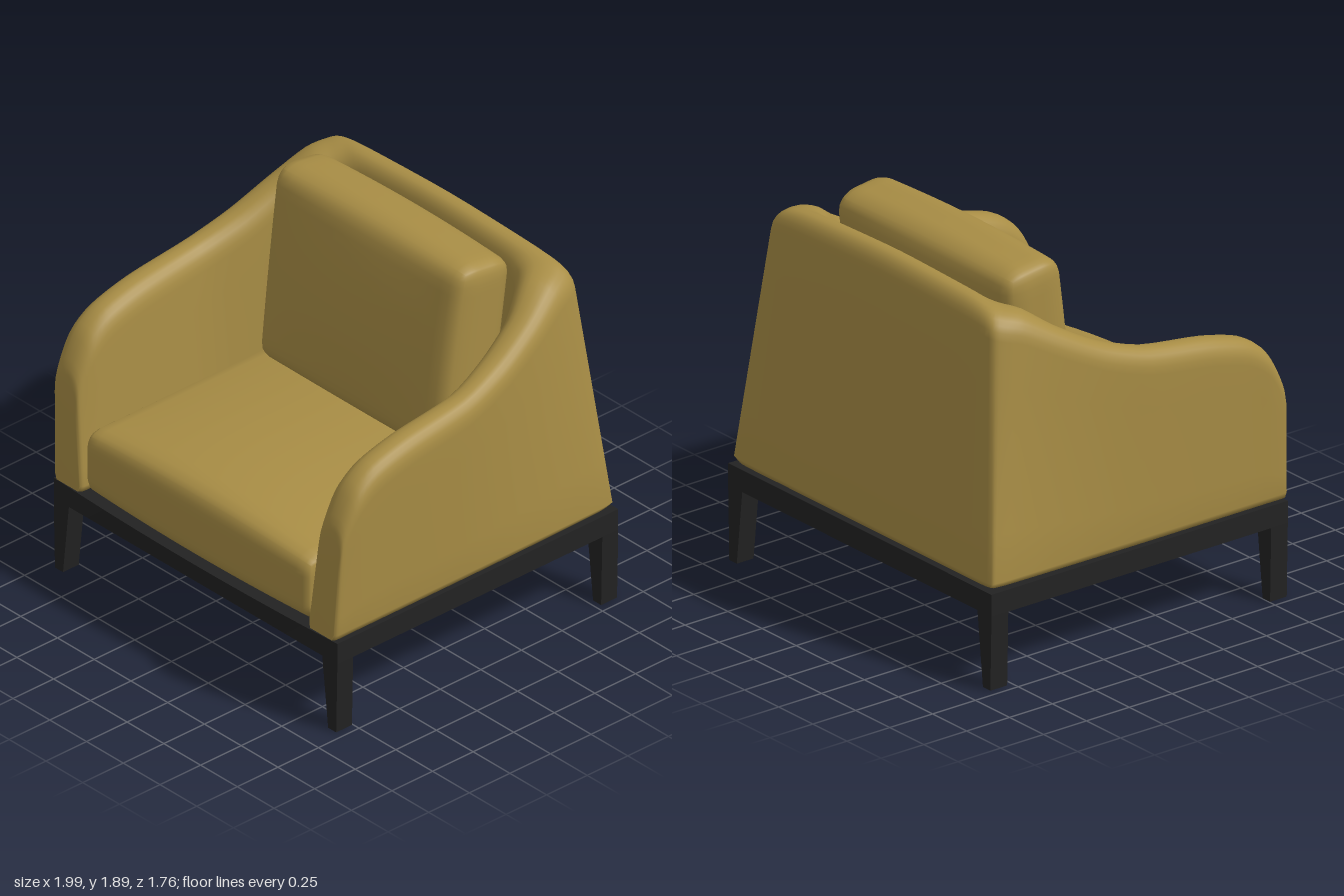
import * as THREE from 'three';
import { mergeVertices } from 'three/addons/utils/BufferGeometryUtils.js';

const fabric = new THREE.MeshStandardMaterial({ color: 0xa88d45 });
const wood = new THREE.MeshStandardMaterial({ color: 0x222222 });

function addMesh(parent, name, geometry, material) {
  const mesh = new THREE.Mesh(geometry, material);
  mesh.name = name;
  parent.add(mesh);
  return mesh;
}

// Wrap-around arms and back: sections lofted from one arm front to the other
function shellGeometry() {
  const y0 = 0.49, r = 0.12;
  // outer bottom x,z | outer top x,z | inner bottom x,z | inner top x,z | height
  const half = [
    [0.945, 0.862, 0.965, 0.842, 0.78, 0.862, 0.84, 0.842, 0.96],
    [0.96, 0.84, 0.985, 0.825, 0.765, 0.84, 0.83, 0.825, 1.09],
    [0.96, 0.74, 1, 0.74, 0.76, 0.74, 0.82, 0.74, 1.25],
    [0.96, 0.62, 1, 0.62, 0.76, 0.62, 0.82, 0.62, 1.34],
    [0.96, 0.4, 1, 0.4, 0.76, 0.4, 0.82, 0.4, 1.4],
    [0.96, 0.05, 0.99, 0.05, 0.76, 0.05, 0.82, 0.05, 1.45],
    [0.96, -0.2, 0.96, -0.2, 0.73, -0.15, 0.78, -0.18, 1.53],
    [0.96, -0.45, 0.92, -0.42, 0.68, -0.35, 0.74, -0.37, 1.64],
    [0.96, -0.68, 0.87, -0.6, 0.62, -0.47, 0.68, -0.49, 1.74],
    [0.957, -0.83, 0.83, -0.7, 0.56, -0.53, 0.62, -0.56, 1.77],
    [0.92, -0.87, 0.78, -0.745, 0.5, -0.555, 0.56, -0.59, 1.785],
    [0.6, -0.872, 0.6, -0.75, 0.4, -0.57, 0.45, -0.605, 1.8],
    [0, -0.872, 0, -0.75, 0, -0.57, 0, -0.61, 1.815],
  ];
  const mirrored = half.slice(0, -1).reverse().map(s => s.map((v, k) => (k < 8 && k % 2 === 0 ? -v : v)));
  const stations = half.concat(mirrored);
  const curves = [0, 3, 6].map(k => new THREE.CatmullRomCurve3(
    stations.map(s => new THREE.Vector3(s[k], s[k + 1], s[k + 2])), false, 'catmullrom', 0.4));
  const rings = (stations.length - 1) * 4;
  const mix = THREE.MathUtils.lerp;
  const positions = [], index = [];
  let n = 0;
  for (let i = 0; i <= rings; i++) {
    const s = curves.flatMap(c => c.getPoint(i / rings).toArray());
    const h = s[8];
    // Section: u runs from outside to inside, y is height
    const section = [[0.06, y0], [0, y0 + 0.03]];
    for (let k = 1; k <= 4; k++) section.push([0, mix(y0 + 0.03, h - r, k / 5)]);
    for (let k = 0; k <= 12; k++) {
      const a = Math.PI * k / 12, c = Math.cos(a);
      section.push([(1 - Math.sign(c) * Math.abs(c) ** 0.85) / 2, h - r + r * Math.sin(a) ** 0.85]);
    }
    for (let k = 4; k >= 1; k--) section.push([1, mix(y0 + 0.03, h - r, k / 5)]);
    section.push([1, y0 + 0.03], [0.94, y0]);
    n = section.length;
    for (const [u, y] of section) {
      const f = (y - y0) / (h - y0);
      positions.push(
        mix(mix(s[0], s[2], f), mix(s[4], s[6], f), u), y,
        mix(mix(s[1], s[3], f), mix(s[5], s[7], f), u));
    }
  }
  for (let i = 0; i < rings; i++) for (let j = 0; j < n; j++) {
    const k = (j + 1) % n, a = i * n + j, b = a + n, c = (i + 1) * n + k, d = i * n + k;
    index.push(a, b, c, a, c, d);
  }
  // Close the arm fronts
  for (const [ring, flip] of [[0, false], [rings, true]]) {
    const base = ring * n, centre = positions.length / 3;
    const sum = [0, 0, 0];
    for (let j = 0; j < n; j++) for (let k = 0; k < 3; k++) sum[k] += positions[(base + j) * 3 + k] / n;
    positions.push(sum[0], sum[1], sum[2] + 0.006);
    for (let j = 0; j < n; j++) {
      const a = base + j, b = base + (j + 1) % n;
      if (flip) index.push(centre, b, a); else index.push(centre, a, b);
    }
  }
  const g = new THREE.BufferGeometry();
  g.setAttribute('position', new THREE.Float32BufferAttribute(positions, 3));
  g.setIndex(index);
  g.computeVertexNormals();
  return g;
}

// Soft box: rounded by a radius per axis, then bulged by a rule
function cushionGeometry(size, radius, bulge) {
  let g = new THREE.BoxGeometry(2, 2, 2, 20, 20, 20);
  g.deleteAttribute('normal');
  g.deleteAttribute('uv');
  g = mergeVertices(g);
  const p = g.attributes.position;
  for (let i = 0; i < p.count; i++) {
    const s = [p.getX(i), p.getY(i), p.getZ(i)].map(v => Math.sin(v * Math.PI / 2));
    const inner = s.map((v, k) => THREE.MathUtils.clamp(v * size[k] / 2, radius[k] - size[k] / 2, size[k] / 2 - radius[k]));
    const d = s.map((v, k) => (v * size[k] / 2 - inner[k]) / radius[k]);
    const length = Math.hypot(...d) || 1;
    const reach = Math.max(...d.map(Math.abs)) / length;
    const q = inner.map((v, k) => v + d[k] * reach * radius[k]);
    p.setXYZ(i, ...bulge(q, q.map((v, k) => v / size[k] * 2)));
  }
  g.computeVertexNormals();
  return g;
}

function boxBetween(x0, x1, y0, y1, z0, z1, segments = 1) {
  return new THREE.BoxGeometry(x1 - x0, y1 - y0, z1 - z0, segments, 1, 1)
    .translate((x0 + x1) / 2, (y0 + y1) / 2, (z0 + z1) / 2);
}

function reshape(geometry, rule) {
  const p = geometry.attributes.position;
  for (let i = 0; i < p.count; i++) p.setXYZ(i, ...rule(p.getX(i), p.getY(i), p.getZ(i)));
  geometry.computeVertexNormals();
  return geometry;
}

export function createModel() {
  const model = new THREE.Group();
  model.name = 'armchair';

  addMesh(model, 'armsAndBack', shellGeometry(), fabric);

  // Seat cushion, crowned on top and bowed at the front
  const seat = addMesh(model, 'seatCushion', cushionGeometry([1.53, 0.33, 1.46], [0.03, 0.09, 0.08],
    ([x, y, z], [u, v, w]) => [
      x,
      y + Math.max(0, v) * 0.075 * (1 - u * u) * (1 - 0.4 * w ** 4),
      z + Math.max(0, w) * 0.025 * (1 - u * u)]), fabric);
  seat.position.set(0, 0.655, 0.12);

  // Back cushion, leaning back and puffed front and rear
  const back = addMesh(model, 'backCushion', cushionGeometry([1.28, 1.0, 0.33], [0.06, 0.09, 0.12],
    ([x, y, z], [u, v, w]) => [
      x * (1 + 0.015 * v),
      y + Math.max(0, v) * 0.02 * (1 - u * u),
      z + w * 0.05 * (1 - u * u) * (1 - v * v)]), fabric);
  back.position.set(0, 1.365, -0.305);
  back.rotation.x = -0.13;

  // Base frame: four rails, the front one gently bowed
  const frame = new THREE.Group();
  frame.name = 'baseFrame';
  model.add(frame);
  addMesh(frame, 'frontRail', reshape(boxBetween(-0.965, 0.965, 0.37, 0.48, 0.79, 0.852, 10),
    (x, y, z) => [x, y, z > 0.82 && y > 0.4 ? z + 0.026 * (1 - (x / 0.965) ** 2) : z]), wood);
  addMesh(frame, 'backRail', boxBetween(-0.965, 0.965, 0.37, 0.48, -0.878, -0.815), wood);
  for (const side of [1, -1]) {
    const rail = addMesh(frame, 'sideRail', boxBetween(-0.03, 0.03, 0.37, 0.48, -0.815, 0.79), wood);
    rail.position.x = side * 0.935;
    // Legs taper on their inner face
    for (const [name, z0, z1] of [['frontLeg', 0.755, 0.852], ['backLeg', -0.878, -0.78]]) {
      addMesh(model, name, reshape(boxBetween(-0.05, 0.05, 0, 0.37, z0, z1), (x, y, z) => {
        const outward = x * side > 0;
        return [side * (outward ? (y > 0.1 ? 0.965 : 0.957) : (y > 0.1 ? 0.862 : 0.902)), y, z];
      }), wood);
    }
  }
  return model;
}
